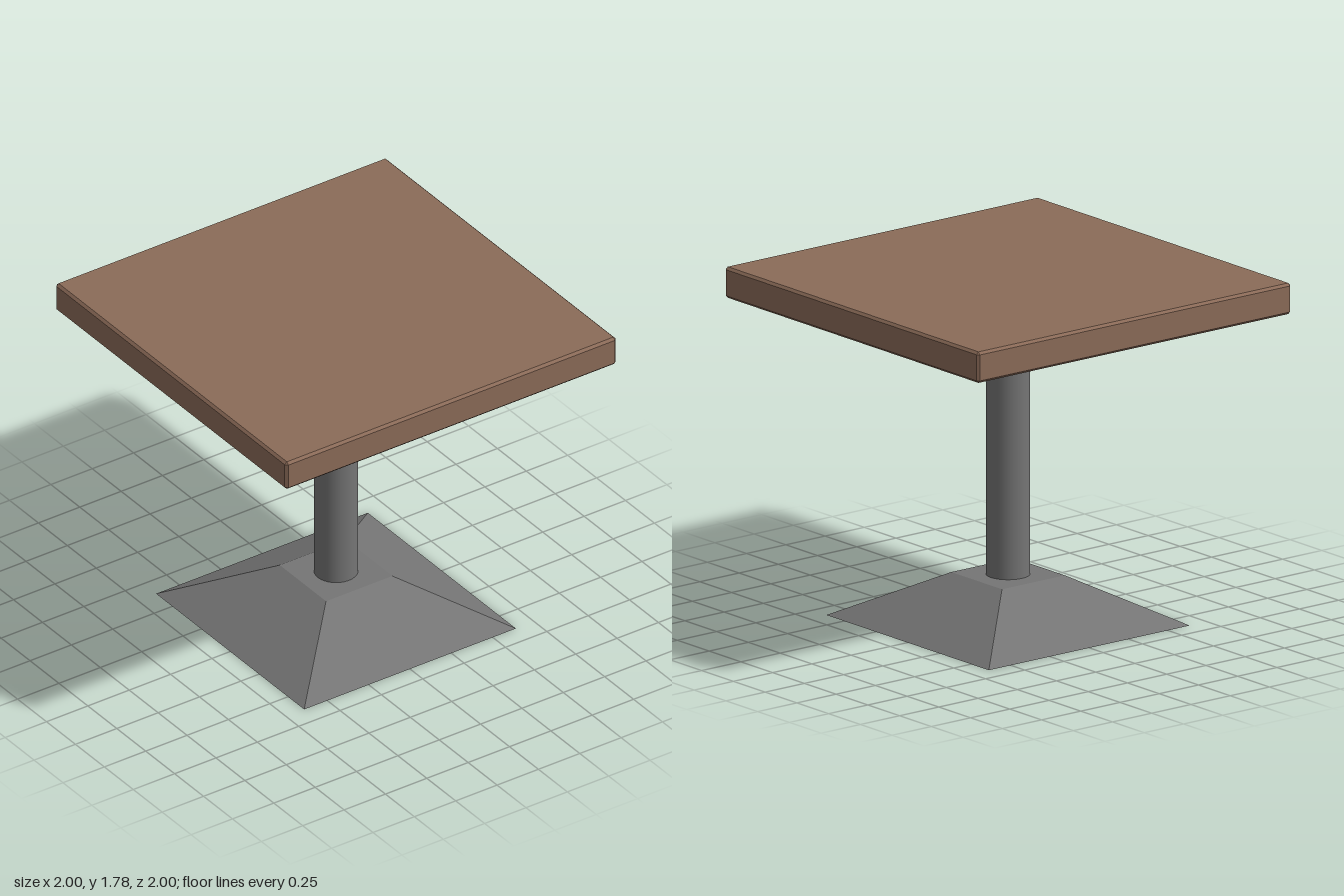
import * as THREE from 'three';
import { ConvexGeometry } from 'three/addons/geometries/ConvexGeometry.js';

// Box with every edge cut by a flat chamfer
function chamferedBox(w, h, d, c) {
  const points = [];
  for (const sx of [-1, 1]) for (const sy of [-1, 1]) for (const sz of [-1, 1]) {
    const x = w / 2, y = h / 2, z = d / 2;
    points.push(
      new THREE.Vector3(sx * x, sy * (y - c), sz * (z - c)),
      new THREE.Vector3(sx * (x - c), sy * y, sz * (z - c)),
      new THREE.Vector3(sx * (x - c), sy * (y - c), sz * z),
    );
  }
  return new ConvexGeometry(points);
}

export function createModel() {
  const group = new THREE.Group();
  group.name = 'pedestalTable';

  const wood = new THREE.MeshStandardMaterial({ color: 0x8b6b58 });
  wood.name = 'brownWood';
  const metal = new THREE.MeshStandardMaterial({ color: 0x757575 });
  metal.name = 'greyMetal';

  const add = (name, geometry, material, y) => {
    const mesh = new THREE.Mesh(geometry, material);
    mesh.name = name;
    mesh.position.y = y;
    group.add(mesh);
  };

  // Square top
  add('tableTop', chamferedBox(2, 0.16, 2, 0.013), wood, 1.7);

  // Round column
  add('column', new THREE.CylinderGeometry(0.11, 0.11, 1.38, 32), metal, 0.93);

  // Foot: a truncated four-sided pyramid, flat sides facing the axes
  const foot = new THREE.CylinderGeometry(0.2 * Math.SQRT2, 0.64 * Math.SQRT2, 0.24, 4)
    .rotateY(Math.PI / 4)
    .toNonIndexed();
  foot.computeVertexNormals();
  add('foot', foot, metal, 0.12);

  return group;
}
